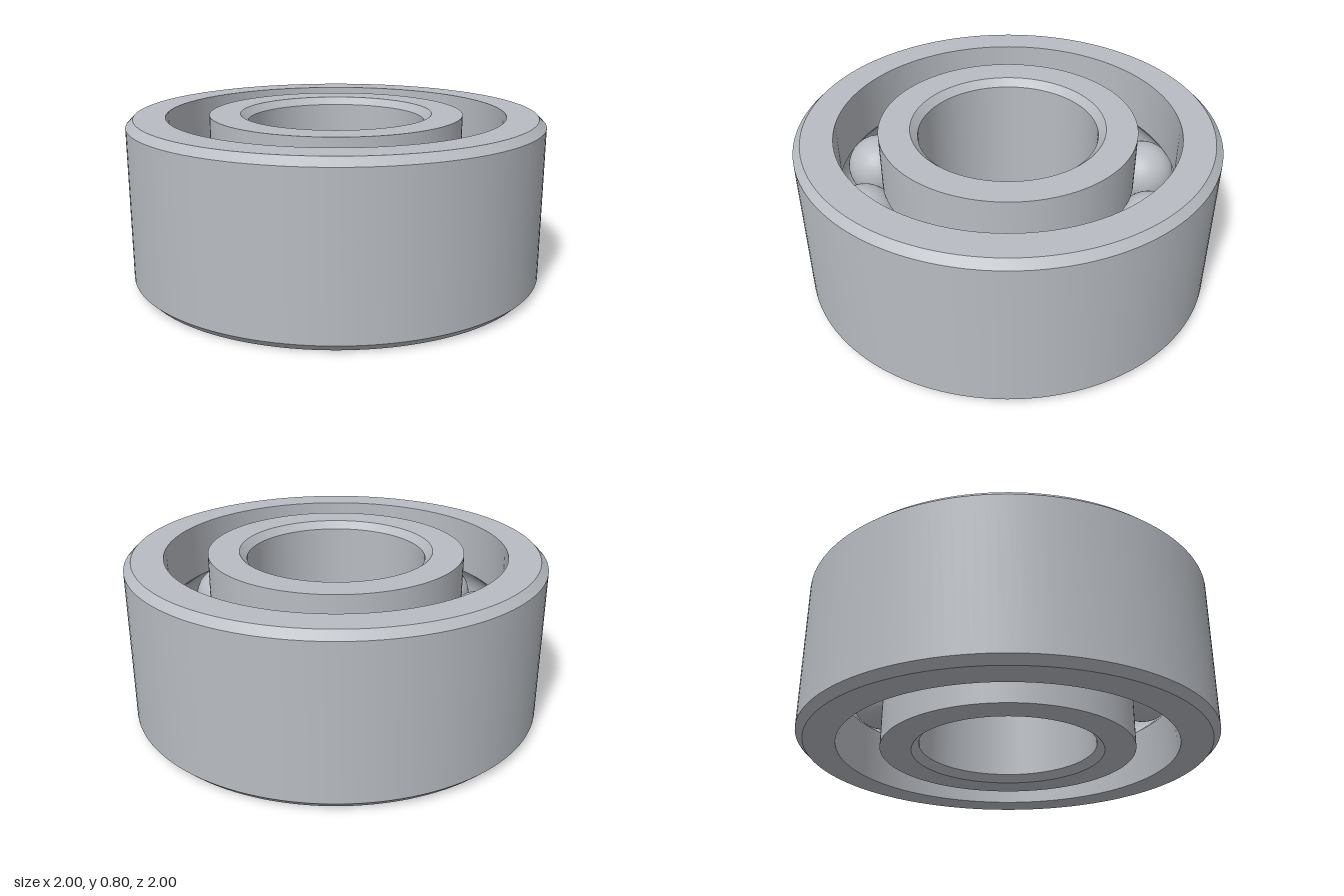
import * as THREE from 'three';
import { toCreasedNormals } from 'three/addons/utils/BufferGeometryUtils.js';

const HEIGHT = 0.8, MID = HEIGHT / 2, CHAMFER = 0.035;
const BALLS = 10, BALL_RADIUS = 0.16, PITCH = 0.7125;
const GROOVE_RADIUS = 0.162;

// Points of the ball groove where it cuts a wall of radius wallX, from bottom to top
function groove(wallX, steps = 20) {
  const side = Math.sign(wallX - PITCH);
  const half = Math.acos(Math.abs(wallX - PITCH) / GROOVE_RADIUS);
  return Array.from({ length: steps + 1 }, (_, i) => {
    const a = -half + (2 * half * i) / steps;
    return [PITCH + side * GROOVE_RADIUS * Math.cos(a), MID + GROOVE_RADIUS * Math.sin(a)];
  });
}

// Closed profile revolved about y, with sharp rims kept sharp
function race(name, profile, material) {
  const points = [...profile, profile[0]].map(([x, y]) => new THREE.Vector2(x, y));
  const mesh = new THREE.Mesh(toCreasedNormals(new THREE.LatheGeometry(points, 128), 0.5), material);
  mesh.name = name;
  return mesh;
}

export function createModel() {
  const model = new THREE.Group();
  model.name = 'ballBearing';
  const steel = new THREE.MeshStandardMaterial({ color: 0xb8bcc2 });
  steel.name = 'steel';

  // Outer race: chamfered outside, grooved inside
  const outerR = 1, outerWall = 0.815;
  model.add(race('outerRace', [
    [outerWall, 0], [outerR - CHAMFER, 0], [outerR, CHAMFER],
    [outerR, HEIGHT - CHAMFER], [outerR - CHAMFER, HEIGHT], [outerWall, HEIGHT],
    ...groove(outerWall).reverse(),
  ], steel));

  // Inner race: grooved outside, chamfered bore
  const bore = 0.427, innerWall = 0.61;
  model.add(race('innerRace', [
    [bore + CHAMFER, 0], [innerWall, 0], ...groove(innerWall), [innerWall, HEIGHT],
    [bore + CHAMFER, HEIGHT], [bore, HEIGHT - CHAMFER], [bore, CHAMFER],
  ], steel));

  // Ring of balls
  const balls = new THREE.Group();
  balls.name = 'balls';
  const ballGeometry = new THREE.SphereGeometry(BALL_RADIUS, 40, 24);
  for (let i = 0; i < BALLS; i++) {
    const a = (i / BALLS) * Math.PI * 2;
    const ball = new THREE.Mesh(ballGeometry, steel);
    ball.name = `ball${i + 1}`;
    ball.position.set(PITCH * Math.cos(a), MID, PITCH * Math.sin(a));
    balls.add(ball);
  }
  model.add(balls);
  return model;
}
